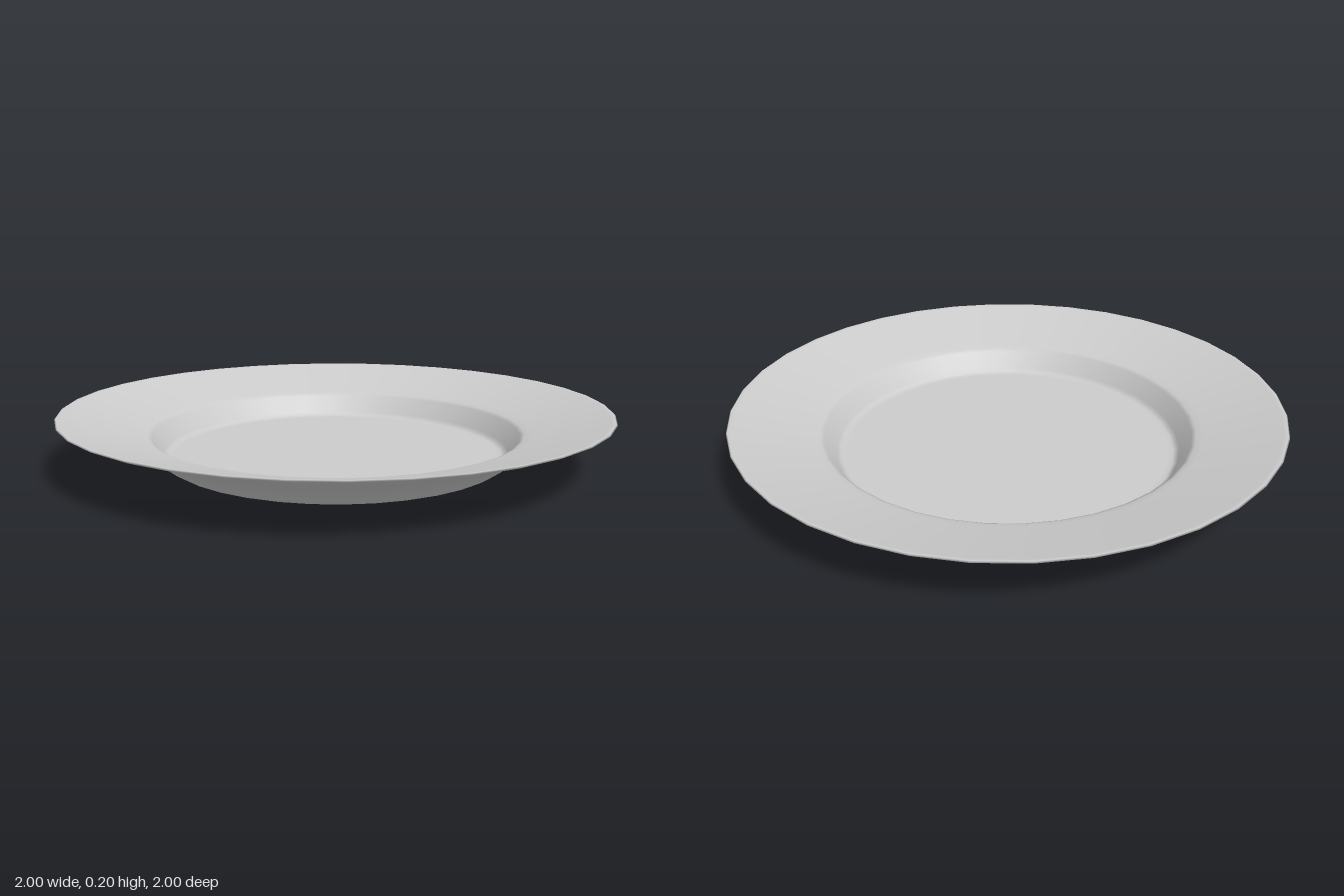
import * as THREE from 'three';

export function createModel() {
  const group = new THREE.Group();
  group.name = 'plate';

  // Closed cross-section: underside centre, out to the lip, back to the well centre
  const profile = [
    // underside and foot
    [0, 0], [0.57, 0], [0.59, 0.003], [0.61, 0.01], [0.635, 0.025],
    // outer wall and lower face of the rim
    [0.68, 0.06], [0.71, 0.075], [0.83, 0.135], [0.985, 0.186],
    // lip
    [1, 0.193], [0.995, 0.197], [0.98, 0.194],
    // upper face of the rim
    [0.84, 0.156], [0.71, 0.123], [0.685, 0.116], [0.67, 0.108],
    // inner wall and flat well
    [0.63, 0.045], [0.62, 0.034], [0.61, 0.03], [0.59, 0.029], [0, 0.029],
  ].map(([r, y]) => new THREE.Vector2(r, y));

  const dish = new THREE.Mesh(
    new THREE.LatheGeometry(profile, 36),
    new THREE.MeshStandardMaterial({ color: 0xcccccc })
  );
  dish.name = 'dish';
  group.add(dish);
  return group;
}
